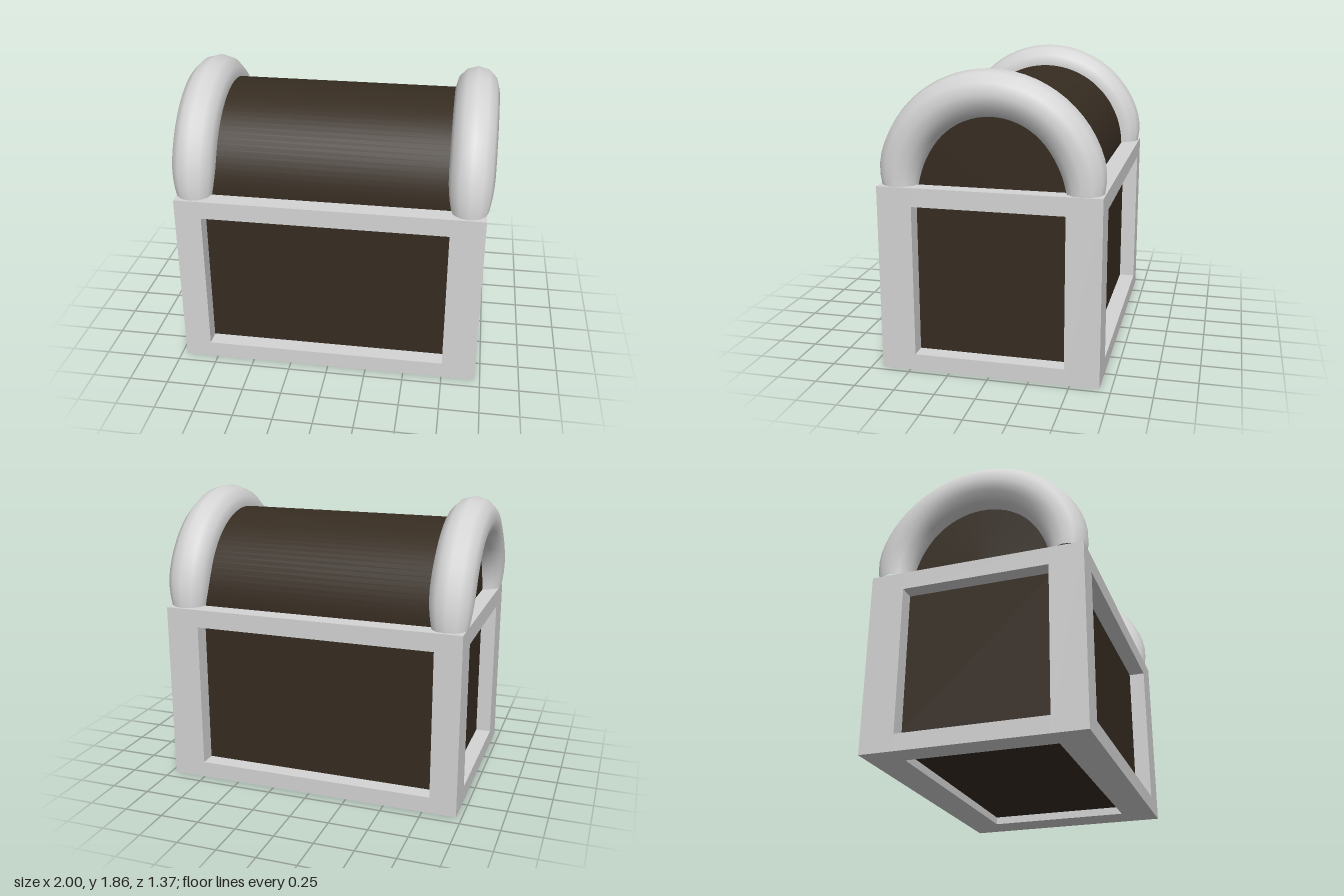
import * as THREE from 'three';

const frameMat = new THREE.MeshStandardMaterial({ color: 0xd4d4d4 });
frameMat.name = 'pale metal';
const woodMat = new THREE.MeshStandardMaterial({ color: 0x362c21 });
woodMat.name = 'dark wood';

// Frame: outer half sizes and height, then the edges of its openings
const HX = 0.965, HZ = 0.68, H = 1.16;
const X0 = -0.795, X1 = 0.75, Z1 = 0.465, Y0 = 0.105, Y1 = 1.045;
// Half sizes of the recessed body
const BODY_X = 0.865, BODY_Z = 0.575, BODY_BOTTOM = 0.05;

// Box between two opposite corners
function block(name, material, min, max) {
  const size = max.map((v, i) => v - min[i]);
  const mesh = new THREE.Mesh(new THREE.BoxGeometry(...size), material);
  mesh.name = name;
  mesh.position.set(...max.map((v, i) => (v + min[i]) / 2));
  return mesh;
}

// Corner posts with rails fitted between them
function createFrame() {
  const frame = new THREE.Group();
  frame.name = 'frame';
  const rows = [['bottom', 0, Y0], ['top', Y1, H]];
  for (const [end, z0, z1] of [['Front', Z1, HZ], ['Back', -HZ, -Z1]]) {
    frame.add(block('left' + end + 'Post', frameMat, [X1, 0, z0], [HX, H, z1]));
    frame.add(block('right' + end + 'Post', frameMat, [-HX, 0, z0], [X0, H, z1]));
    for (const [row, y0, y1] of rows) {
      frame.add(block(row + end + 'Rail', frameMat, [X0, y0, z0], [X1, y1, z1]));
    }
  }
  for (const [row, y0, y1] of rows) {
    frame.add(block(row + 'LeftRail', frameMat, [X1, y0, -Z1], [HX, y1, Z1]));
    frame.add(block(row + 'RightRail', frameMat, [-HX, y0, -Z1], [X0, y1, Z1]));
  }
  return frame;
}

// Thick half ring over one end of the lid, its tube narrowing at the feet
function createArch(side) {
  const radius = 0.56;
  const geo = new THREE.TorusGeometry(radius, 0.14, 12, 32, Math.PI);
  geo.rotateY(Math.PI / 2);
  const p = geo.attributes.position;
  for (let i = 0; i < p.count; i++) {
    const t = Math.max(0, 1 - p.getY(i) / 0.25);
    const k = 1 - 0.19 * t * t;
    const mid = Math.sign(p.getZ(i)) * radius;
    p.setX(i, p.getX(i) * k);
    if (t > 0) p.setZ(i, mid + (p.getZ(i) - mid) * k);
  }
  geo.computeBoundingSphere();
  const arch = new THREE.Mesh(geo, frameMat);
  arch.name = side > 0 ? 'leftArch' : 'rightArch';
  arch.position.set(side * 0.86, H + 0.003, 0);
  return arch;
}

export function createModel() {
  const chest = new THREE.Group();
  chest.name = 'chest';

  // Body panels, set back behind the frame
  chest.add(block('body', woodMat,
    [-BODY_X, BODY_BOTTOM, -BODY_Z], [BODY_X, H - 0.01, BODY_Z]));

  // Half-barrel lid
  const lidGeo = new THREE.CylinderGeometry(0.563, 0.563, BODY_X * 2, 48, 1, false, 0, Math.PI);
  lidGeo.rotateZ(Math.PI / 2);
  const lid = new THREE.Mesh(lidGeo, woodMat);
  lid.name = 'lid';
  lid.position.y = H;
  chest.add(lid);

  chest.add(createFrame(), createArch(1), createArch(-1));
  return chest;
}
